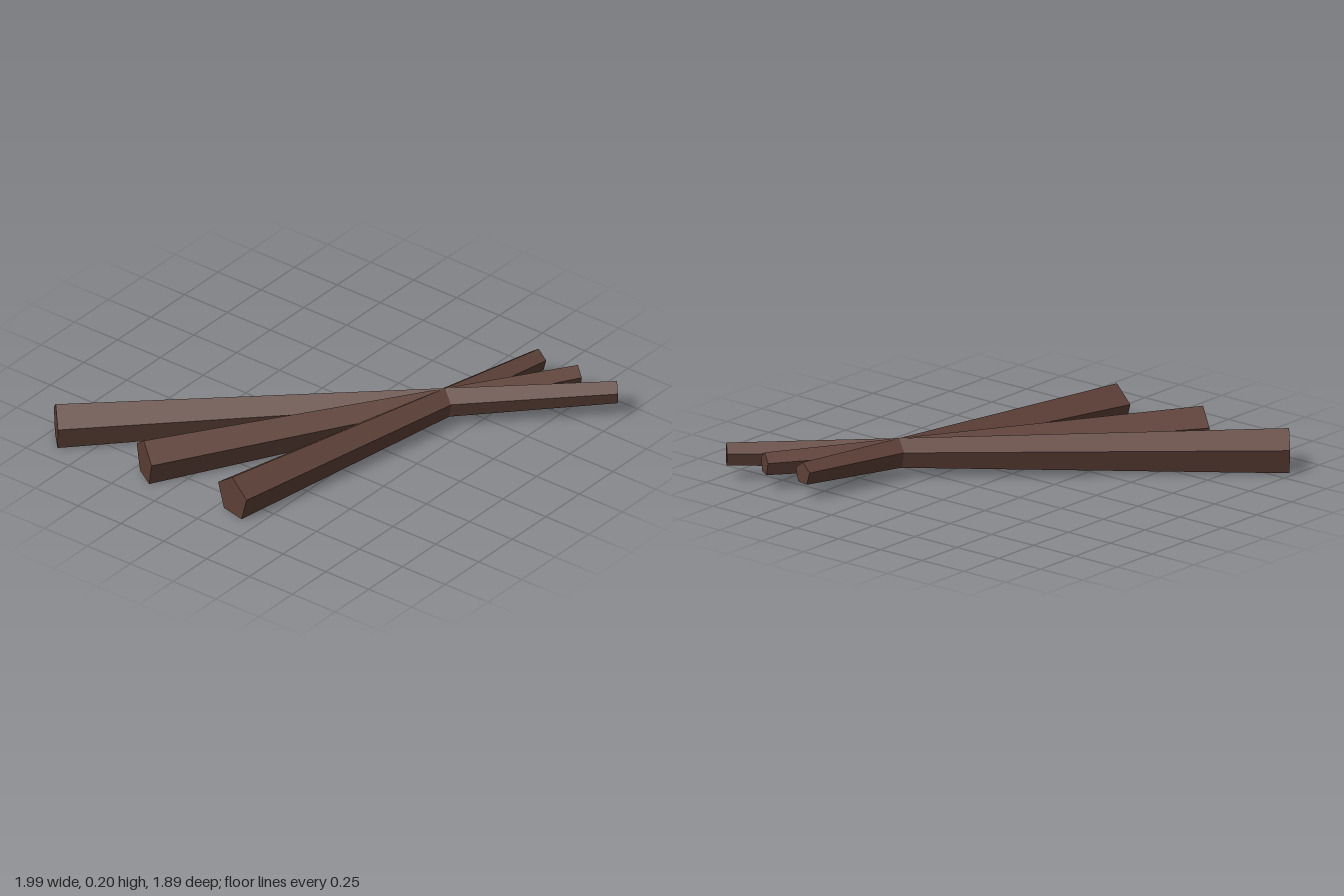
import * as THREE from 'three';

export function createModel() {
  const model = new THREE.Group();
  model.name = 'crossedPoles';
  const wood = new THREE.MeshStandardMaterial({ color: 0x5d4037 });
  wood.name = 'darkWood';
  wood.flatShading = true;

  // Tapered five-sided pole with one ridge on top, from thick end to thin end
  function addPole(name, thick, thin) {
    const a = new THREE.Vector3(...thick);
    const b = new THREE.Vector3(...thin);
    const geometry = new THREE.CylinderGeometry(0.055, 0.109, a.distanceTo(b), 5);
    geometry.rotateX(-Math.PI / 2); // thick end to +z, ridge to +y
    const pole = new THREE.Mesh(geometry, wood);
    pole.name = name;
    pole.position.copy(a).add(b).multiplyScalar(0.5);
    pole.lookAt(a);
    model.add(pole);
  }

  // All three cross at one point near the thin ends
  addPole('rightPole', [-0.93, 0.09, 0.866], [0.956, 0.125, -0.907]);
  addPole('middlePole', [-0.415, 0.09, 0.866], [0.728, 0.125, -0.907]);
  addPole('leftPole', [0.1, 0.09, 0.866], [0.5, 0.125, -0.907]);

  return model;
}
